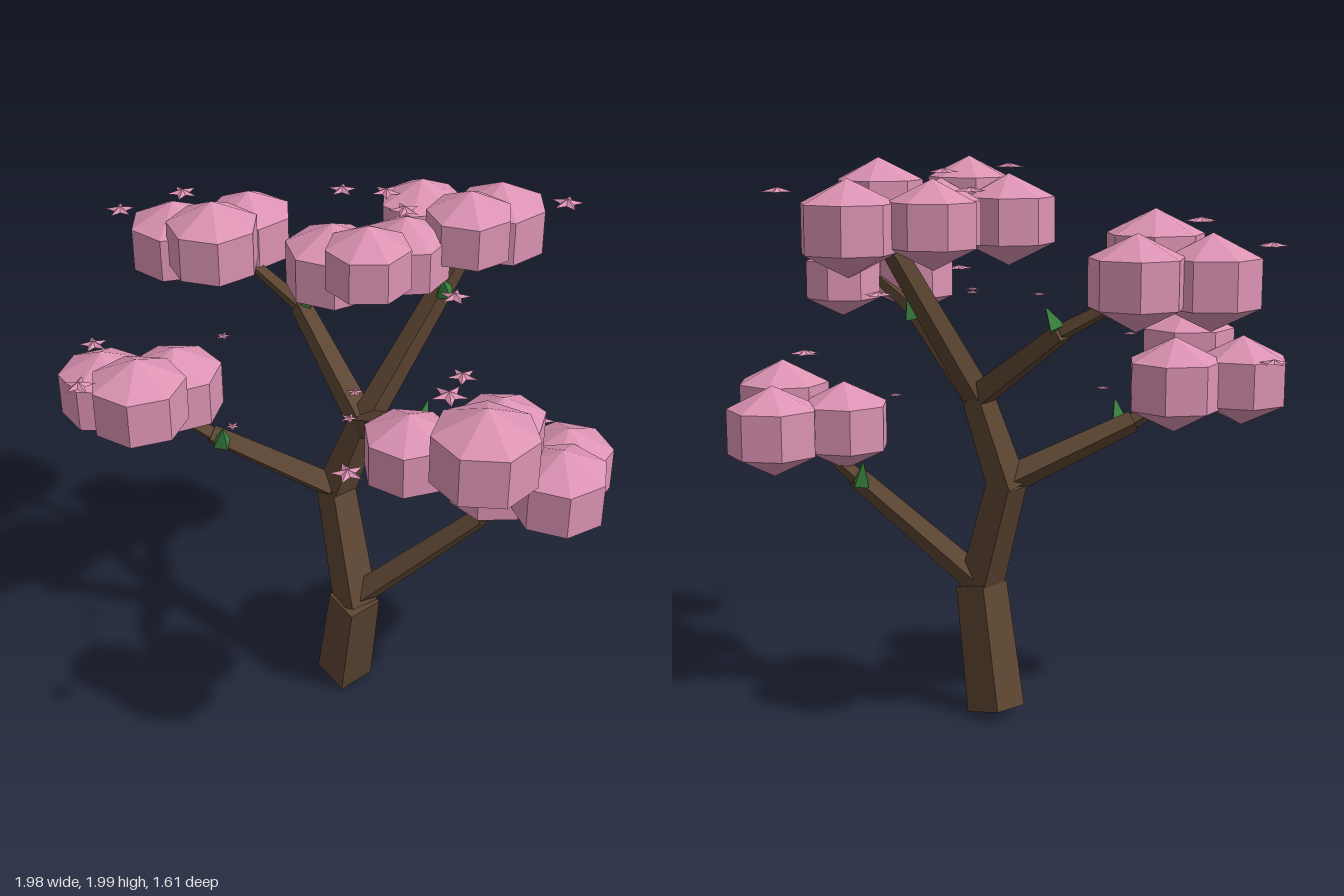
import * as THREE from 'three';

const mat = (name, color, extra = {}) => {
  const m = new THREE.MeshStandardMaterial({ color, flatShading: true, ...extra });
  m.name = name;
  return m;
};

export function createModel() {
  const bark = mat('bark brown', 0x5c4532);
  const pink = mat('blossom pink', 0xdc93b3);
  const green = mat('leaf green', 0x3b8542);
  const tree = new THREE.Group();
  tree.name = 'blossomTree';
  const UP = new THREE.Vector3(0, 1, 0);

  const add = (name, geometry, material, position) => {
    const mesh = new THREE.Mesh(geometry, material);
    mesh.name = name;
    mesh.position.set(...position);
    tree.add(mesh);
    return mesh;
  };

  // Tapered square limb between two points, w0 and w1 wide
  const limb = (name, a, b, w0, w1) => {
    const p = new THREE.Vector3(...a), d = new THREE.Vector3(...b).sub(p);
    const len = d.length();
    const g = new THREE.CylinderGeometry(w1 / Math.SQRT2, w0 / Math.SQRT2, len, 4);
    g.rotateY(Math.PI / 4).translate(0, len / 2, 0);
    add(name, g, bark, a).quaternion.setFromUnitVectors(UP, d.normalize());
  };

  // Trunk
  const t0 = [-0.03, 0.015, -0.03], t1 = [0.07, 0.455, 0.005];
  const t2 = [-0.08, 0.86, -0.03], t3 = [0.01, 1.16, -0.08];
  limb('lowerTrunk', t0, t1, 0.145, 0.13);
  limb('middleTrunk', [0.075, 0.44, 0.005], t2, 0.115, 0.1);
  limb('upperTrunk', [-0.085, 0.84, -0.03], t3, 0.1, 0.08);

  // Branches, each ending in a thin twig
  const branches = [
    [t3, [0.07, 1.69, -0.43], [0.06, 1.76, -0.48]],
    [t3, [0.4, 1.4, 0.04], [0.68, 1.5, 0.12]],
    [t3, [-0.4, 1.43, -0.13], [-0.62, 1.56, -0.05]],
    [[0.07, 0.46, 0], [0.38, 0.86, -0.31], [0.45, 0.95, -0.38]],
    [[-0.07, 0.86, -0.03], [-0.385, 1.07, 0.29], [-0.46, 1.13, 0.36]],
  ];
  for (const [a, b, c] of branches) {
    limb('branch', a, b, 0.075, 0.055);
    limb('twig', b, c, 0.042, 0.03);
  }

  // Blossom clusters: x, y, z, half height
  const blossoms = [
    [0.06, 1.77, -0.64, 0.157], [-0.13, 1.78, -0.45, 0.145], [0.13, 1.84, -0.43, 0.145], [0.03, 1.77, -0.24, 0.145],
    [-0.07, 1.77, -0.01, 0.155], [0.1, 1.84, -0.02, 0.14],
    [0.725, 1.515, -0.03, 0.138], [0.835, 1.58, 0.145, 0.165], [0.61, 1.51, 0.245, 0.14],
    [-0.695, 1.61, -0.13, 0.155], [-0.81, 1.6, 0.115, 0.158], [-0.605, 1.665, 0.09, 0.162],
    [0.525, 1.045, -0.565, 0.16], [0.66, 1.1, -0.395, 0.162], [0.415, 1.045, -0.33, 0.157],
    [-0.525, 1.21, 0.335, 0.165], [-0.665, 1.215, 0.54, 0.157], [-0.425, 1.295, 0.55, 0.165],
  ];
  blossoms.forEach(([x, y, z, h], i) => {
    const m = add('blossom', new THREE.SphereGeometry(h, 7, 3), pink, [x, y, z]);
    m.scale.set(1.16, 1, 1.16);
    m.rotation.y = i * 1.3;
  });

  // Leaves: position and direction of the tip
  const leaves = [
    [0.1, 1.65, -0.35, 0.4, 1, 0.5], [0.4, 1.44, -0.01, 0, 1, -0.3], [-0.36, 1.47, -0.135, 0.8, 1, 0.1],
    [0.32, 0.89, -0.34, -0.3, 1, -0.2], [-0.31, 1.1, 0.295, 0.4, 1, 0.2],
  ];
  for (const [x, y, z, dx, dy, dz] of leaves) {
    const m = add('leaf', new THREE.ConeGeometry(0.036, 0.095, 4), green, [x, y, z]);
    m.quaternion.setFromUnitVectors(UP, new THREE.Vector3(dx, dy, dz).normalize());
  }

  // Five-pointed star petals drifting around the crown: x, y, z, radius
  const petals = [
    [0.25, 1.89, -0.76, 0.058], [-0.195, 1.89, -0.345, 0.055], [0.02, 1.94, -0.24, 0.055], [-0.19, 1.96, -0.15, 0.05],
    [-0.26, 1.54, -0.08, 0.028], [-0.78, 1.8, 0.09, 0.057], [-0.945, 1.72, 0.25, 0.055], [-0.45, 1.4, 0.175, 0.028],
    [-0.25, 1.175, 0.29, 0.028], [-0.83, 1.305, 0.475, 0.055], [-0.465, 1.425, 0.75, 0.057], [0.52, 1.305, -0.415, 0.057],
    [0.38, 1.5, -0.19, 0.055], [0.3, 1.15, -0.19, 0.028], [0.42, 1.845, -0.1, 0.052], [0.725, 1.76, 0.195, 0.06],
    [0.59, 1.53, 0.465, 0.055], [0.235, 1.5, 0.145, 0.03], [0.31, 1.475, 0.23, 0.03],
  ];
  // Shallow ten-sided cone with every second rim point pulled in
  const star = new THREE.ConeGeometry(1, 0.26, 10);
  const pos = star.attributes.position;
  for (let i = 0; i < pos.count; i++) {
    const x = pos.getX(i), z = pos.getZ(i);
    const k = Math.round(Math.atan2(x, z) / (Math.PI / 5));
    if (k % 2) pos.setXYZ(i, x * 0.42, pos.getY(i), z * 0.42);
  }
  petals.forEach(([x, y, z, r], i) => {
    const m = add('starPetal', star, pink, [x, y, z]);
    m.scale.setScalar(r);
    m.rotation.y = i * 0.9;
  });

  return tree;
}
